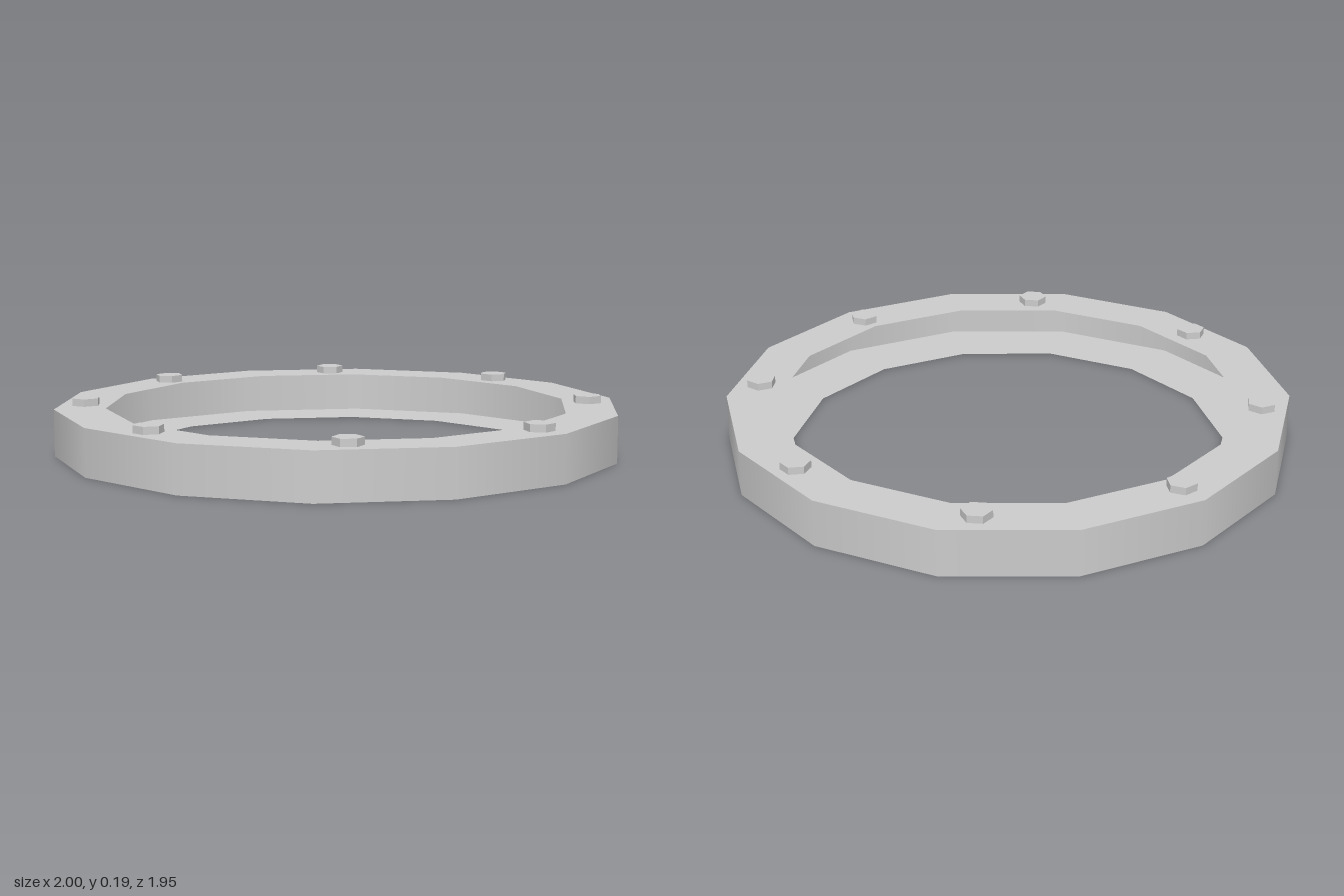
import * as THREE from 'three';

const SIDES = 14;
const HEIGHT = 0.165;
const material = new THREE.MeshStandardMaterial({ color: 0xcccccc, side: THREE.DoubleSide });
const boltMaterial = new THREE.MeshStandardMaterial({ color: 0xcccccc, flatShading: true });

function add(parent, name, geometry, mat = material) {
  const mesh = new THREE.Mesh(geometry, mat);
  mesh.name = name;
  parent.add(mesh);
  return mesh;
}

// flat 14-sided annulus with corners on the x axis
function plate(inner, y, facing) {
  return new THREE.RingGeometry(inner, 1, SIDES, 1)
    .rotateX(-facing * Math.PI / 2)
    .translate(0, y, 0);
}

export function createModel() {
  const model = new THREE.Group();
  model.name = 'boltedRing';

  // hollow channel, open towards the centre
  add(model, 'outerWall', new THREE.CylinderGeometry(1, 1, HEIGHT, SIDES, 1, true)
    .rotateY(Math.PI / 2)
    .translate(0, HEIGHT / 2, 0));
  add(model, 'topPlate', plate(0.82, HEIGHT, 1));
  add(model, 'bottomPlate', plate(0.77, 0, -1));

  // eight hexagonal bolt heads, each turned to follow the ring
  const bolts = new THREE.Group();
  bolts.name = 'bolts';
  const head = new THREE.CylinderGeometry(0.052, 0.052, 0.028, 6);
  for (let i = 0; i < 8; i++) {
    const angle = i * Math.PI / 4;
    const bolt = add(bolts, 'bolt', head, boltMaterial);
    bolt.position.set(0.893 * Math.cos(angle), 0.177, -0.893 * Math.sin(angle));
    bolt.rotation.y = angle;
  }
  model.add(bolts);
  return model;
}
